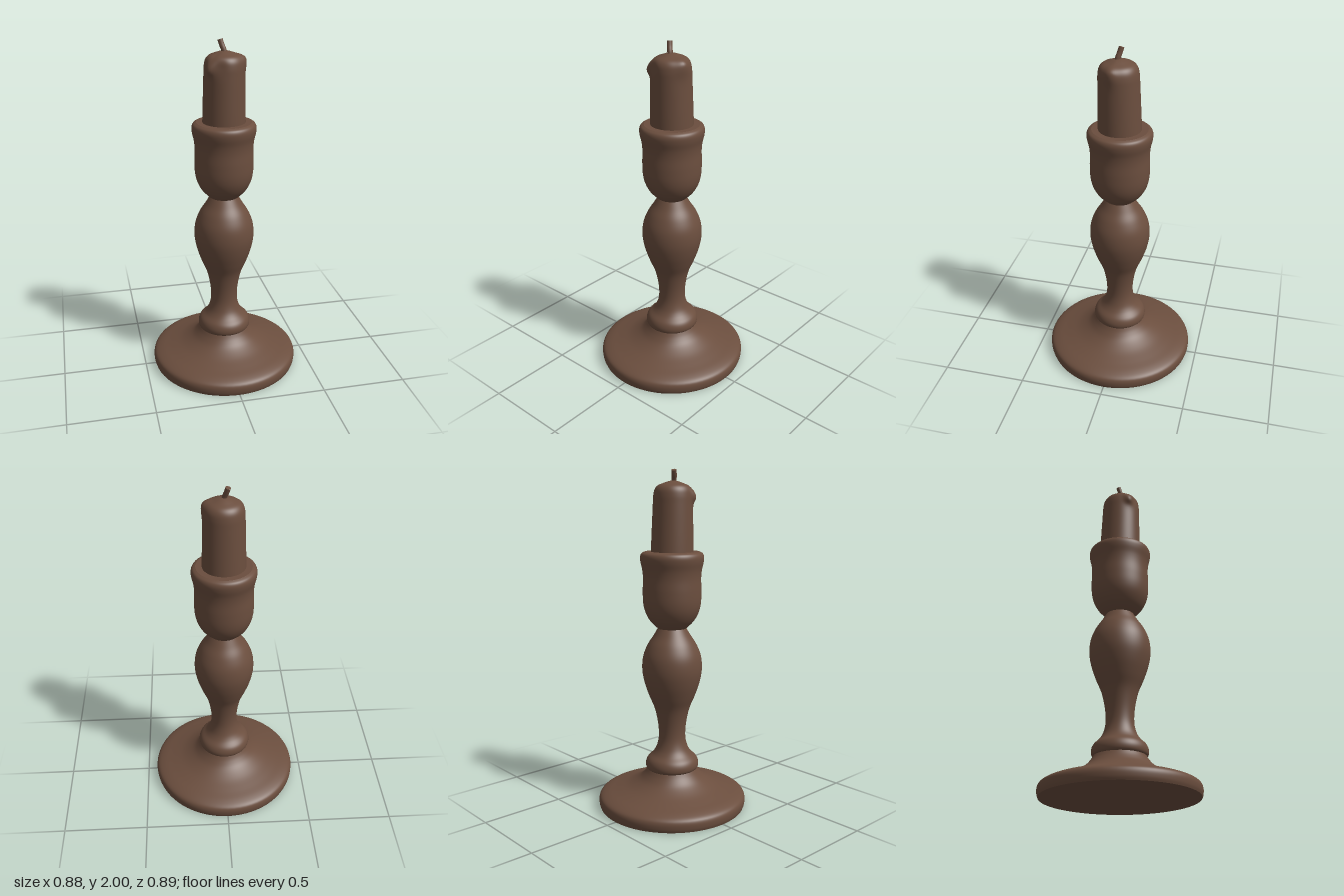
import * as THREE from 'three';

const brown = new THREE.MeshStandardMaterial({ color: 0x6b4e3e });
brown.name = 'brown';

// Smoothly turned part from [radius, height] pairs, listed bottom to top
function turned(name, pairs, divisions = 40) {
  const curve = new THREE.SplineCurve(pairs.map(([r, y]) => new THREE.Vector2(r, y)));
  const points = curve.getPoints(divisions);
  points.forEach((p) => { p.x = Math.max(p.x, 0); });
  const mesh = new THREE.Mesh(new THREE.LatheGeometry(points, 72), brown);
  mesh.name = name;
  return mesh;
}

// Flat disc, facing up or down
function disc(name, radius, y, up) {
  const geometry = new THREE.CircleGeometry(radius, 72).rotateX(up ? -Math.PI / 2 : Math.PI / 2);
  const mesh = new THREE.Mesh(geometry, brown);
  mesh.name = name;
  mesh.position.y = y;
  return mesh;
}

// Soft weight around a direction on the candle's rim
function near(angle, target, width) {
  const d = Math.atan2(Math.sin(angle - target), Math.cos(angle - target));
  return Math.exp(-((d / width) ** 2));
}

// Candle: a turned shape, leaned slightly forward, with wax drips at the rim
function makeCandle() {
  const candle = turned('candle', [
    [0.123, 1.52], [0.121, 1.6], [0.118, 1.7], [0.115, 1.8], [0.113, 1.85],
    [0.106, 1.885], [0.088, 1.908], [0.055, 1.922], [0.025, 1.932], [0, 1.936],
  ], 48);
  const pos = candle.geometry.attributes.position;
  for (let i = 0; i < pos.count; i++) {
    const x = pos.getX(i), y = pos.getY(i), z = pos.getZ(i);
    const r = Math.hypot(x, z), a = Math.atan2(z, x);
    const rim = Math.exp(-(((y - 1.865) / 0.045) ** 2)) * Math.min(1, r / 0.1);
    const left = near(a, 2.5, 0.22), right = near(a, 0.2, 0.35), flat = near(a, 1.95, 0.3);
    const swell = 1 + rim * (0.2 * left + 0.09 * right - 0.05 * flat);
    const lean = 0.009 * (y - 1.52) / 0.4;
    pos.setXYZ(i, x * swell, y + rim * (0.018 * right - 0.018 * left), z * swell + lean);
  }
  candle.geometry.computeVertexNormals();
  // Close the shading across the lathe seam
  const normal = candle.geometry.attributes.normal;
  const row = pos.count / 73;
  for (let j = 0; j < row; j++) {
    const last = 72 * row + j;
    const n = new THREE.Vector3().fromBufferAttribute(normal, j)
      .add(new THREE.Vector3().fromBufferAttribute(normal, last)).normalize();
    normal.setXYZ(j, n.x, n.y, n.z);
    normal.setXYZ(last, n.x, n.y, n.z);
  }
  return candle;
}

// Bent wick with a cut tip
function makeWick() {
  const wick = new THREE.Group();
  wick.name = 'wick';
  const path = new THREE.CatmullRomCurve3([
    new THREE.Vector3(0, 1.915, 0.016), new THREE.Vector3(-0.004, 1.94, 0.012),
    new THREE.Vector3(-0.014, 1.968, 0.003), new THREE.Vector3(-0.021, 1.994, -0.004),
  ]);
  const stalk = new THREE.Mesh(new THREE.TubeGeometry(path, 16, 0.015, 10), brown);
  stalk.name = 'wickStalk';
  const tip = new THREE.Mesh(new THREE.CircleGeometry(0.015, 10), brown);
  tip.name = 'wickTip';
  tip.position.copy(path.getPoint(1));
  tip.quaternion.setFromUnitVectors(new THREE.Vector3(0, 0, 1), path.getTangent(1));
  wick.add(stalk, tip);
  return wick;
}

export function createModel() {
  const model = new THREE.Group();
  model.name = 'candlestick';

  const holder = new THREE.Group();
  holder.name = 'holder';
  holder.scale.z = 1.01;
  holder.add(
    // Wide foot
    disc('footUnderside', 0.435, 0, false),
    turned('foot', [
      [0.435, 0], [0.441, 0.02], [0.441, 0.05], [0.428, 0.072], [0.39, 0.09],
      [0.33, 0.108], [0.26, 0.132], [0.2, 0.165], [0.165, 0.2], [0.145, 0.232],
    ]),
    // Collar flowing into the bulged stem
    turned('stem', [
      [0.13, 0.226], [0.148, 0.229], [0.157, 0.243], [0.157, 0.268], [0.145, 0.295],
      [0.115, 0.325], [0.094, 0.36], [0.081, 0.41], [0.08, 0.47], [0.089, 0.54],
      [0.106, 0.61], [0.135, 0.68], [0.162, 0.76], [0.176, 0.84], [0.17, 0.92],
      [0.143, 0.99], [0.108, 1.045], [0.082, 1.09],
    ], 80),
    // Cup with a flared, rounded rim
    turned('cup', [
      [0.08, 1.086], [0.095, 1.098], [0.13, 1.135], [0.156, 1.185], [0.168, 1.24],
      [0.17, 1.31], [0.168, 1.38], [0.172, 1.43], [0.182, 1.475], [0.184, 1.505],
      [0.176, 1.525], [0.158, 1.535],
    ], 56),
    disc('cupTop', 0.158, 1.535, true),
  );

  model.add(holder, makeCandle(), makeWick());
  return model;
}
